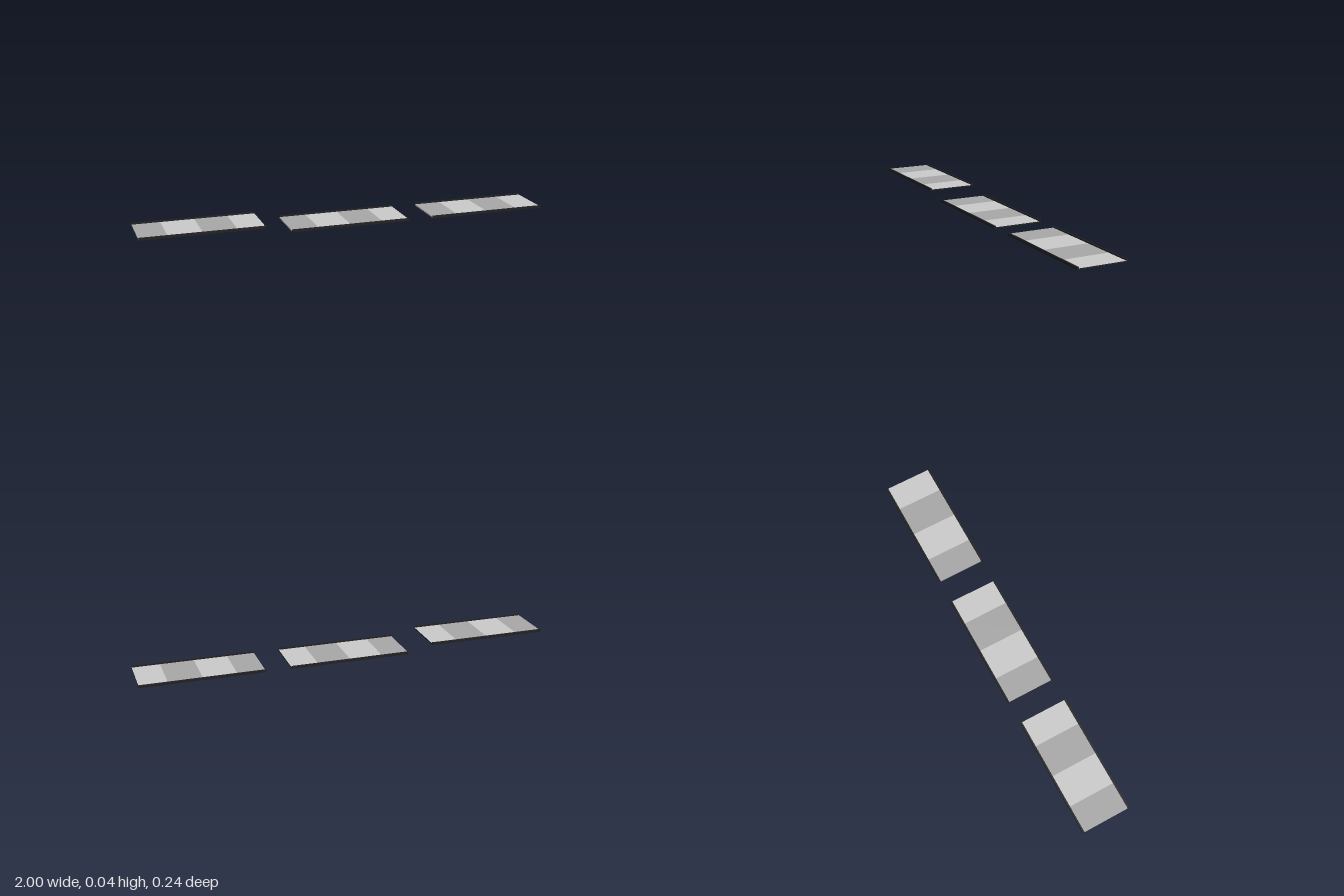
import * as THREE from 'three';

const LENGTH = 0.584, HALF = LENGTH / 2, FOLD = 0.16;
const BELT_TOP = 0.006, RAIL_TOP = 0.012, RAIL_W = 0.008, HALF_W = 0.122;
const BELT_W = 2 * (HALF_W - RAIL_W);

const material = (color) => new THREE.MeshStandardMaterial({ color });

export function createModel() {
  const light = material(0xcccccc);
  const dark = material(0xa8a8a8);
  const black = material(0x222222);

  const add = (parent, name, geometry, mat, x, y, z) => {
    const mesh = new THREE.Mesh(geometry, mat);
    mesh.name = name;
    mesh.position.set(x, y, z);
    parent.add(mesh);
    return mesh;
  };

  // A run of flat belt panels between the given x positions, facing up or down
  const addRun = (parent, name, edges, mats, y, up) => {
    mats.forEach((mat, i) => {
      const x0 = edges[i], x1 = edges[i + 1];
      const panel = new THREE.PlaneGeometry(x1 - x0, BELT_W).rotateX(up ? -Math.PI / 2 : Math.PI / 2);
      add(parent, name + (i + 1), panel, mat, (x0 + x1) / 2, y, 0);
    });
  };

  const createConveyor = (name) => {
    const conveyor = new THREE.Group();
    conveyor.name = name;

    // Striped belt: upper run, lower run and the two ends
    addRun(conveyor, 'beltTop', [-HALF, -FOLD, 0, FOLD, HALF], [dark, light, dark, light], BELT_TOP, true);
    addRun(conveyor, 'beltUnderside', [-HALF, -FOLD, FOLD, HALF], [dark, light, dark], 0, false);
    for (const side of [-1, 1]) {
      const end = new THREE.PlaneGeometry(BELT_W, BELT_TOP).rotateY(side * Math.PI / 2);
      add(conveyor, 'beltEnd', end, side < 0 ? dark : black, side * HALF, BELT_TOP / 2, 0);

      // Raised rail along each long edge
      add(conveyor, 'sideRail', new THREE.BoxGeometry(LENGTH, RAIL_TOP, RAIL_W), black,
        0, RAIL_TOP / 2, side * (HALF_W - RAIL_W / 2));
    }
    return conveyor;
  };

  // Three conveyors in a row, the right one raised
  const model = new THREE.Group();
  model.name = 'conveyorSet';
  const places = [['rightConveyor', -0.708, 0.031], ['middleConveyor', 0, 0], ['leftConveyor', 0.708, 0]];
  for (const [name, x, y] of places) {
    const conveyor = createConveyor(name);
    conveyor.position.set(x, y, 0);
    model.add(conveyor);
  }
  return model;
}
